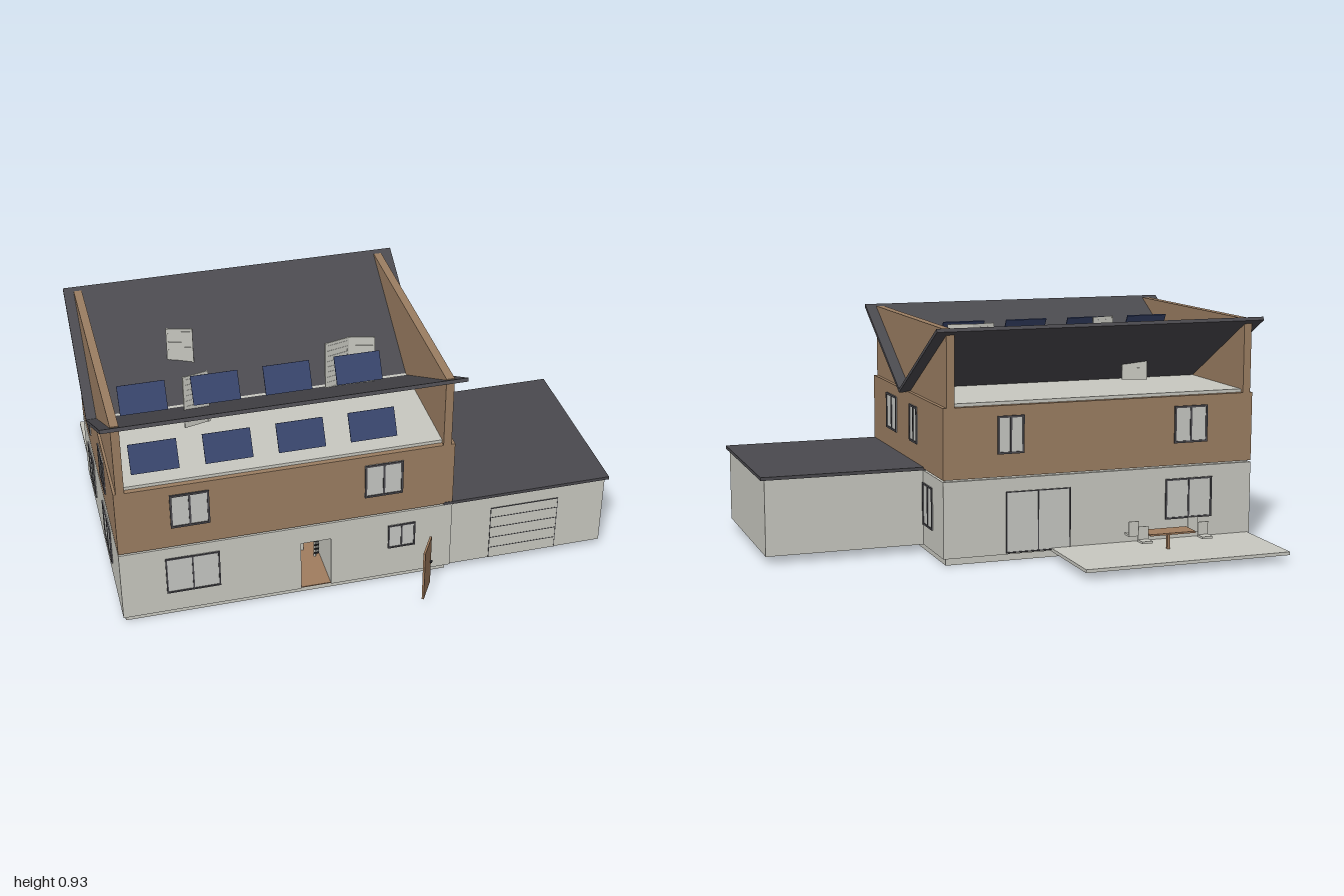
import * as THREE from 'three';

export function createModel() {
  const mat = (name, color) => {
    const m = new THREE.MeshStandardMaterial({ color });
    m.name = name;
    return m;
  };
  const plaster = mat('plaster', 0xc8c8c0);
  const timber = mat('timber cladding', 0x9b7e62);
  const wood = mat('wood', 0xa07c5e);
  const slate = mat('slate', 0x4a494e);
  const solar = mat('solar blue', 0x37446b);
  const glass = mat('glass', 0xc6c7c3);
  const dark = mat('dark metal', 0x2c2b2e);

  const model = new THREE.Group();
  model.name = 'house';

  // Box given by its limits on each axis
  const box = (name, m, x0, x1, y0, y1, z0, z1, parent = model) => {
    const mesh = new THREE.Mesh(new THREE.BoxGeometry(x1 - x0, y1 - y0, z1 - z0), m);
    mesh.position.set((x0 + x1) / 2, (y0 + y1) / 2, (z0 + z1) / 2);
    mesh.name = name;
    parent.add(mesh);
    return mesh;
  };
  const group = (name, x = 0, y = 0, z = 0, ry = 0) => {
    const g = new THREE.Group();
    g.name = name;
    g.position.set(x, y, z);
    g.rotation.y = ry;
    model.add(g);
    return g;
  };

  const X0 = -0.97, X1 = 0.345, Z0 = -0.41, Z1 = 0.59;

  // Foundation and ground floor, with an entrance hall behind the front opening
  box('foundation', plaster, -0.96, 0.33, 0, 0.03, -0.39, 0.57);
  box('groundFloorBack', plaster, X0, X1, 0.03, 0.333, Z0, 0.3);
  box('groundFloorFrontRight', plaster, X0, -0.265, 0.03, 0.333, 0.3, Z1);
  box('groundFloorFrontLeft', plaster, -0.145, X1, 0.03, 0.333, 0.3, Z1);
  box('entranceLintel', plaster, -0.265, -0.145, 0.255, 0.333, 0.3, Z1);
  box('hallFloor', wood, -0.265, -0.145, 0.03, 0.034, 0.3, 0.585);
  box('hallPartition', plaster, -0.265, -0.2, 0.034, 0.13, 0.3, 0.36);
  box('floorBand', plaster, -0.96, 0.335, 0.333, 0.34, -0.4, 0.58);

  // Upper floor, attic floor and tall end walls
  box('upperFloor', timber, X0, X1, 0.34, 0.62, Z0, Z1);
  box('atticFloor', plaster, -0.93, 0.3, 0.62, 0.633, -0.39, 0.57);
  box('endWallRight', timber, -0.96, -0.928, 0.62, 0.92, Z0, Z1);
  box('endWallLeft', timber, 0.298, 0.33, 0.62, 0.92, Z0, Z1);

  // Valley roof: one folded cross-section swept along x
  const profile = new THREE.Shape([
    [-0.617, 0.915], [-0.09, 0.614], [0.437, 0.915],
    [0.431, 0.928], [-0.09, 0.629], [-0.611, 0.928],
  ].map(([a, b]) => new THREE.Vector2(a, b)));
  const roof = new THREE.Mesh(
    new THREE.ExtrudeGeometry(profile, { depth: 1.375, bevelEnabled: false }), slate);
  roof.name = 'valleyRoof';
  roof.rotation.y = Math.PI / 2;
  roof.position.x = -1;
  model.add(roof);

  // Two rows of tilted solar panels
  for (const [y, z] of [[0.702, 0.5], [0.827, 0.29]]) {
    for (let i = 0; i < 4; i++) {
      const x = -0.8 + i * 0.28;
      const p = box('solarPanel', solar, x - 0.091, x + 0.091, y - 0.056, y + 0.056, z - 0.003, z + 0.003);
      p.rotation.x = -Math.PI / 6;
    }
  }

  // Windows: local x runs along the wall, local z points outwards
  const faces = {
    front: u => [u, Z1, 0],
    back: u => [u, Z0, Math.PI],
    left: u => [X1, u, Math.PI / 2],
    right: u => [X0, u, -Math.PI / 2],
  };
  const addWindow = (face, u0, u1, y0, y1, t = 0.008) => {
    const [x, z, ry] = faces[face]((u0 + u1) / 2);
    const g = group(face + 'Window', x, (y0 + y1) / 2, z, ry);
    const w = (u1 - u0) / 2, h = (y1 - y0) / 2;
    box('pane', glass, -w, w, -h, h, -0.002, 0.002, g);
    for (const s of [-1, 1]) {
      const a = s * (w - t / 2), b = s * (h - t / 2);
      box('frameSide', slate, a - t / 2, a + t / 2, -h, h, -0.002, 0.006, g);
      box('frameRail', slate, -w + t, w - t, b - t / 2, b + t / 2, -0.002, 0.006, g);
    }
    box('mullion', slate, -t / 2, t / 2, -h + t, h - t, -0.002, 0.005, g);
  };
  addWindow('front', -0.765, -0.615, 0.43, 0.58);
  addWindow('front', -0.012, 0.14, 0.43, 0.58);
  addWindow('front', -0.795, -0.585, 0.12, 0.285, 0.006);
  addWindow('front', 0.085, 0.195, 0.165, 0.275, 0.006);
  addWindow('back', 0.015, 0.125, 0.43, 0.58);
  addWindow('back', -0.77, -0.625, 0.43, 0.58);
  addWindow('back', -0.795, -0.59, 0.12, 0.285, 0.007);
  addWindow('back', -0.18, 0.09, 0.035, 0.28, 0.004);
  addWindow('left', 0.23, 0.38, 0.425, 0.575);
  addWindow('left', -0.068, 0.036, 0.425, 0.575);
  addWindow('left', -0.272, -0.148, 0.115, 0.285, 0.007);
  addWindow('right', -0.247, -0.096, 0.425, 0.575);
  addWindow('right', 0.18, 0.315, 0.425, 0.575);
  addWindow('right', -0.26, -0.09, 0.115, 0.285, 0.007);
  addWindow('right', 0.16, 0.355, 0.115, 0.285, 0.007);

  // Garage with a flat roof and a sectional door
  box('garageWalls', plaster, X1, 0.985, 0.03, 0.333, -0.143, 0.585);
  box('garageRoof', slate, 0.31, 1, 0.333, 0.346, -0.15, 0.592);
  box('garageDoor', plaster, 0.51, 0.79, 0.03, 0.275, 0.58, 0.587);
  for (const x of [0.51, 0.79]) box('garageDoorEdge', slate, x - 0.001, x + 0.001, 0.03, 0.275, 0.58, 0.588);
  for (const y of [0.08, 0.13, 0.18, 0.23, 0.275]) {
    box('garageDoorGap', slate, 0.51, 0.79, y - 0.0015, y + 0.0015, 0.58, 0.588);
  }

  // Front door standing open, clear of the wall
  const door = group('frontDoor', 0.206, 0.143, 0.722, Math.PI / 3);
  box('doorLeaf', wood, -0.056, 0.056, -0.113, 0.113, -0.004, 0.004, door);
  box('doorHandle', dark, 0.037, 0.049, -0.003, 0.003, -0.012, 0.012, door);

  // Louvred inner doors
  const louvre = (x, y, z, ry, w = 0.105) => {
    const g = group('louvredDoor', x, y, z, ry);
    const h = 0.115, s = 0.008;
    box('doorCore', plaster, -w / 2, w / 2, -h, h, -0.002, 0.002, g);
    for (const k of [-1, 1]) {
      const a = k * (w / 2 - s / 2);
      box('stile', plaster, a - s / 2, a + s / 2, -h, h, -0.004, 0.004, g);
    }
    for (let i = 0; i < 9; i++) {
      const v = -0.096 + i * 0.024;
      box('slat', plaster, -w / 2 + s, w / 2 - s, v - 0.006, v + 0.006, -0.003, 0.003, g);
    }
  };
  louvre(-0.59, 0.762, -0.088, -0.24);
  louvre(-0.59, 0.762, 0.253, 0.24);
  louvre(-0.008, 0.762, 0.152, 0.24);
  louvre(0.092, 0.762, 0.152, -0.24);
  // Hall door with dark slots, seen through the entrance
  louvre(-0.159, 0.146, 0.4, 0.9, 0.03);
  for (let i = 0; i < 10; i++) {
    const y = 0.055 + i * 0.02;
    box('hallDoorSlot', dark, -0.17, -0.15, y - 0.003, y + 0.003, 0.415, 0.419);
  }

  // Patio with table and four chairs
  box('patio', plaster, -0.96, -0.1, 0.028, 0.041, -0.775, Z0);
  box('tableTop', wood, -0.628, -0.434, 0.107, 0.114, -0.615, -0.525);
  box('tableLeg', wood, -0.537, -0.525, 0.041, 0.107, -0.576, -0.564);
  for (const sx of [-1, 1]) {
    for (const sz of [-1, 1]) {
      const g = group('chair', -0.531 + sx * 0.128, 0, -0.57 + sz * 0.065);
      box('seat', plaster, -0.022, 0.022, 0.09, 0.099, -0.022, 0.022, g);
      box('backrest', plaster, -0.022, 0.022, 0.099, 0.15, -sz * 0.02 - 0.002, -sz * 0.02 + 0.002, g);
    }
  }

  return model;
}
